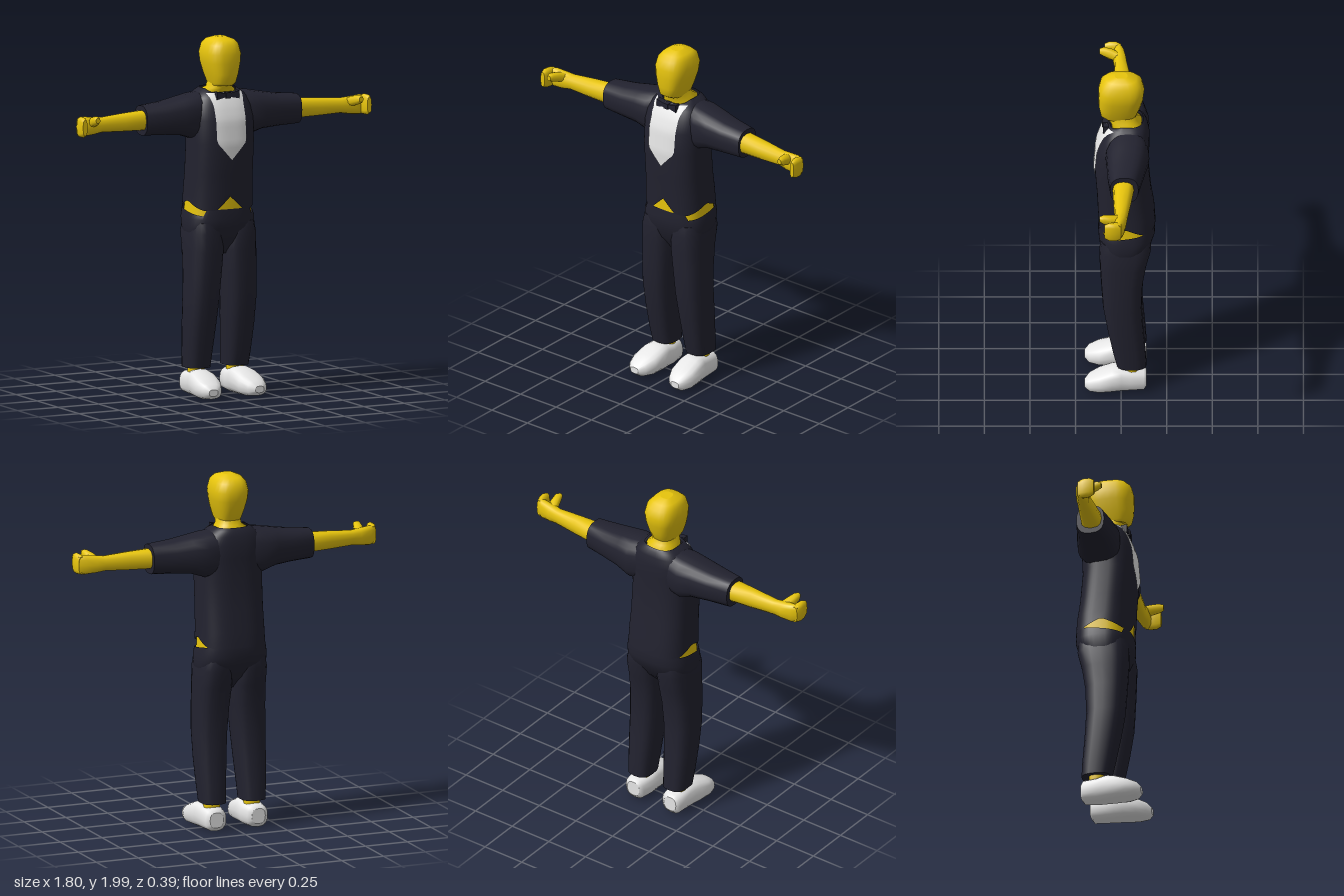
import * as THREE from 'three';

const material = (name, color, side = THREE.FrontSide) => {
  const m = new THREE.MeshStandardMaterial({ color, side });
  m.name = name;
  return m;
};

// Slots for [a, t, b] in each loft direction, kept right-handed
const AXES = { x: [2, 0, 1], y: [0, 1, 2], z: [1, 2, 0] };

// Superellipse loft. Each ring is [t, aMin, aMax, bMin, bMax]; tweak may move a point of ring i.
function loft(axis, rings, { seg = 20, n = 2.4, caps = true, tweak } = {}) {
  const pos = [], index = [], [A, T, B] = AXES[axis];
  const put = (t, a, b) => {
    const p = [0, 0, 0];
    p[A] = a; p[T] = t; p[B] = b;
    pos.push(...p);
  };
  const bend = v => Math.sign(v) * Math.abs(v) ** (2 / n);
  const addRing = ([t, a0, a1, b0, b1], i) => {
    for (let j = 0; j < seg; j++) {
      const q = (j / seg) * Math.PI * 2;
      const a = (a0 + a1) / 2 + bend(Math.cos(q)) * (a1 - a0) / 2;
      const b = (b0 + b1) / 2 + bend(Math.sin(q)) * (b1 - b0) / 2;
      put(tweak ? t + tweak(i, a, b) : t, a, b);
    }
  };
  rings.forEach(addRing);
  for (let i = 0; i < rings.length - 1; i++) {
    for (let j = 0; j < seg; j++) {
      const k = (j + 1) % seg, p = i * seg, q = p + seg;
      index.push(p + j, q + j, p + k, p + k, q + j, q + k);
    }
  }
  if (caps) {
    for (const i of [0, rings.length - 1]) {
      const [t, a0, a1, b0, b1] = rings[i], start = pos.length / 3;
      addRing(rings[i], i);
      put(t, (a0 + a1) / 2, (b0 + b1) / 2);
      for (let j = 0; j < seg; j++) {
        const k = (j + 1) % seg;
        index.push(start + seg, start + (i ? k : j), start + (i ? j : k));
      }
    }
  }
  return surface(pos, index);
}

function surface(pos, index) {
  const g = new THREE.BufferGeometry();
  g.setAttribute('position', new THREE.Float32BufferAttribute(pos, 3));
  g.setIndex(index);
  g.computeVertexNormals();
  return g;
}

function mirrored(g) {
  const pos = Array.from(g.attributes.position.array, (v, i) => (i % 3 ? v : -v));
  return surface(pos, Array.from(g.index.array).reverse());
}

// Linear lookup in rows of [key, values...]
function lookup(rows, key, col) {
  let i = 0;
  while (i < rows.length - 2 && key > rows[i + 1][0]) i++;
  const f = (key - rows[i][0]) / (rows[i + 1][0] - rows[i][0]);
  return THREE.MathUtils.lerp(rows[i][col], rows[i + 1][col], f);
}

export function createModel() {
  const root = new THREE.Group();
  root.name = 'suitedFigure';
  const skin = material('yellowSkin', 0xffd90f);
  const suit = material('darkSuit', 0x22222f, THREE.DoubleSide);
  const white = material('white', 0xffffff, THREE.DoubleSide);
  const add = (name, g, m) => {
    const mesh = new THREE.Mesh(g, m);
    mesh.name = name;
    root.add(mesh);
  };
  const addPair = (name, g, m) => {
    add(name + 'Left', g, m);
    add(name + 'Right', mirrored(g), m);
  };

  // Head and neck
  add('head', loft('y', [
    [1.735, -.06, .06, -.07, .09], [1.75, -.066, .066, -.085, .112],
    [1.80, -.082, .082, -.105, .122], [1.86, -.097, .097, -.122, .125],
    [1.91, -.102, .102, -.128, .125], [1.96, -.09, .09, -.115, .112],
    [1.985, -.068, .068, -.085, .085], [2.0, -.03, .03, -.035, .035],
  ], { seg: 24, n: 2.7 }), skin);
  add('neck', loft('y', [
    [1.66, -.09, .09, -.11, .05], [1.705, -.09, .09, -.115, .056],
    [1.72, -.068, .068, -.085, .07], [1.77, -.062, .062, -.08, .08],
  ], { seg: 24 }), skin);

  // Jacket, with a notched hem and a neckline that dips in front
  const body = [
    [1.05, -.188, .188, -.188, .125], [1.14, -.185, .185, -.182, .128],
    [1.25, -.183, .183, -.165, .133], [1.42, -.183, .183, -.15, .146],
    [1.55, -.185, .185, -.155, .135], [1.62, -.18, .18, -.155, .112],
    [1.67, -.155, .155, -.145, .088], [1.70, -.12, .12, -.135, .07],
    [1.715, -.095, .095, -.12, .06],
  ];
  const hem = (x, z) => {
    if (z > .08 && Math.abs(x) < .08) return .075 * (1 - Math.abs(x) / .08);
    return Math.abs(x) > .14 ? .05 * Math.max(0, 1 - Math.abs(z + .02) / .11) : 0;
  };
  add('jacket', loft('y', body, {
    seg: 64, n: 2.7, caps: false,
    tweak: (i, x, z) => (i === 0 ? hem(x, z) : i === 8 && z > 0 ? -.4 * z : 0),
  }), suit);
  addPair('sleeve', loft('x', [
    [.09, -.14, .06, 1.45, 1.70], [.17, -.155, .085, 1.44, 1.69],
    [.25, -.14, .08, 1.466, 1.675], [.35, -.12, .075, 1.475, 1.657],
    [.478, -.095, .06, 1.48, 1.645],
  ], { n: 2.6 }), suit);

  // Shirt front, following the curve of the jacket
  const outline = [[1.33, 0], [1.43, .09], [1.64, .092], [1.697, .108]];
  const pos = [], index = [], rows = 16, cols = 10;
  for (let r = 0; r <= rows; r++) {
    const y = 1.33 + .367 * r / rows, half = lookup(outline, y, 1);
    const w = lookup(body, y, 2), z0 = lookup(body, y, 3), z1 = lookup(body, y, 4);
    for (let c = 0; c <= cols; c++) {
      const x = half * (2 * c / cols - 1);
      const bulge = Math.max(0, 1 - Math.abs(x / w) ** 2.7) ** (1 / 2.7);
      pos.push(x, y, (z0 + z1) / 2 + bulge * (z1 - z0) / 2 + .006);
      if (r < rows && c < cols) {
        const p = r * (cols + 1) + c, q = p + cols + 1;
        index.push(p, p + 1, q, p + 1, q + 1, q);
      }
    }
  }
  add('shirtFront', surface(pos, index), white);

  // Bow tie
  const bow = new THREE.Shape([
    [-.068, 1.662], [-.015, 1.673], [.015, 1.673], [.068, 1.662],
    [.068, 1.706], [.015, 1.694], [-.015, 1.694], [-.068, 1.706],
  ].map(p => new THREE.Vector2(...p)));
  const bowGeometry = new THREE.ExtrudeGeometry(bow, { depth: .032, bevelEnabled: false });
  bowGeometry.translate(0, 0, .068);
  add('bowTie', bowGeometry, suit);
  const knot = new THREE.BoxGeometry(.03, .032, .04);
  knot.translate(0, 1.683, .085);
  add('bowKnot', knot, suit);

  // Bare waist seen under the hem
  add('waist', loft('y', [
    [.97, -.184, .184, -.17, .115], [1.06, -.178, .178, -.176, .117],
    [1.16, -.174, .174, -.168, .117],
  ], { seg: 40, n: 2.7 }), skin);

  // Trousers
  add('trouserSeat', loft('y', [
    [.80, -.13, .13, -.06, .05], [.87, -.19, .19, -.125, .098],
    [.95, -.2, .2, -.172, .122], [1.0, -.198, .198, -.187, .126],
    [1.055, -.19, .19, -.185, .123],
  ], {
    seg: 48, n: 2.7, caps: false,
    tweak: (i, x, z) => (i === 4 && Math.abs(x) > .14 && z < .11
      ? -.035 * THREE.MathUtils.clamp((z + .13) / .215, 0, 1) : 0),
  }), suit);
  addPair('trouserLeg', loft('y', [
    [.165, .048, .188, -.14, .025], [.25, .044, .194, -.135, .045],
    [.40, .034, .202, -.122, .075], [.55, .024, .205, -.113, .10],
    [.70, .012, .203, -.12, .11], [.82, .002, .2, -.14, .117],
    [.92, .004, .198, -.165, .12], [.98, .02, .185, -.16, .11],
  ], { n: 2.7 }), suit);

  // Ankles and shoes
  addPair('ankle', loft('y', [
    [.10, .075, .165, -.10, -.01], [.20, .075, .165, -.10, -.01],
  ], { seg: 12 }), skin);
  addPair('shoe', loft('z', [
    [-.14, .035, .12, .085, .165], [-.125, .014, .14, .062, .186],
    [-.05, .01, .148, .05, .192], [.0, .01, .16, .048, .2],
    [.05, .01, .152, .045, .21], [.12, .01, .125, .052, .215],
    [.175, .016, .1, .08, .198], [.2, .035, .072, .115, .17],
  ], { seg: 16, n: 2.6 }), white);

  // Arms and hands
  addPair('arm', loft('x', [
    [.44, -.075, .048, 1.508, 1.622], [.60, -.055, .042, 1.512, 1.613],
    [.74, -.035, .036, 1.518, 1.602], [.79, -.03, .045, 1.51, 1.608],
    [.85, -.018, .04, 1.505, 1.615], [.885, .0, .035, 1.512, 1.612],
  ], { seg: 12, n: 2.5 }), skin);
  addPair('fingers', loft('z', [
    [.0, 1.51, 1.61, .85, .888], [.03, 1.505, 1.62, .85, .9],
    [.065, 1.507, 1.62, .856, .9], [.09, 1.52, 1.608, .865, .892],
  ], { seg: 12, n: 2.8 }), skin);
  addPair('thumb', loft('z', [
    [.0, 1.55, 1.6, .755, .815], [.05, 1.56, 1.618, .775, .832],
    [.095, 1.575, 1.625, .79, .836], [.118, 1.588, 1.618, .8, .826],
  ], { seg: 10 }), skin);

  return root;
}
